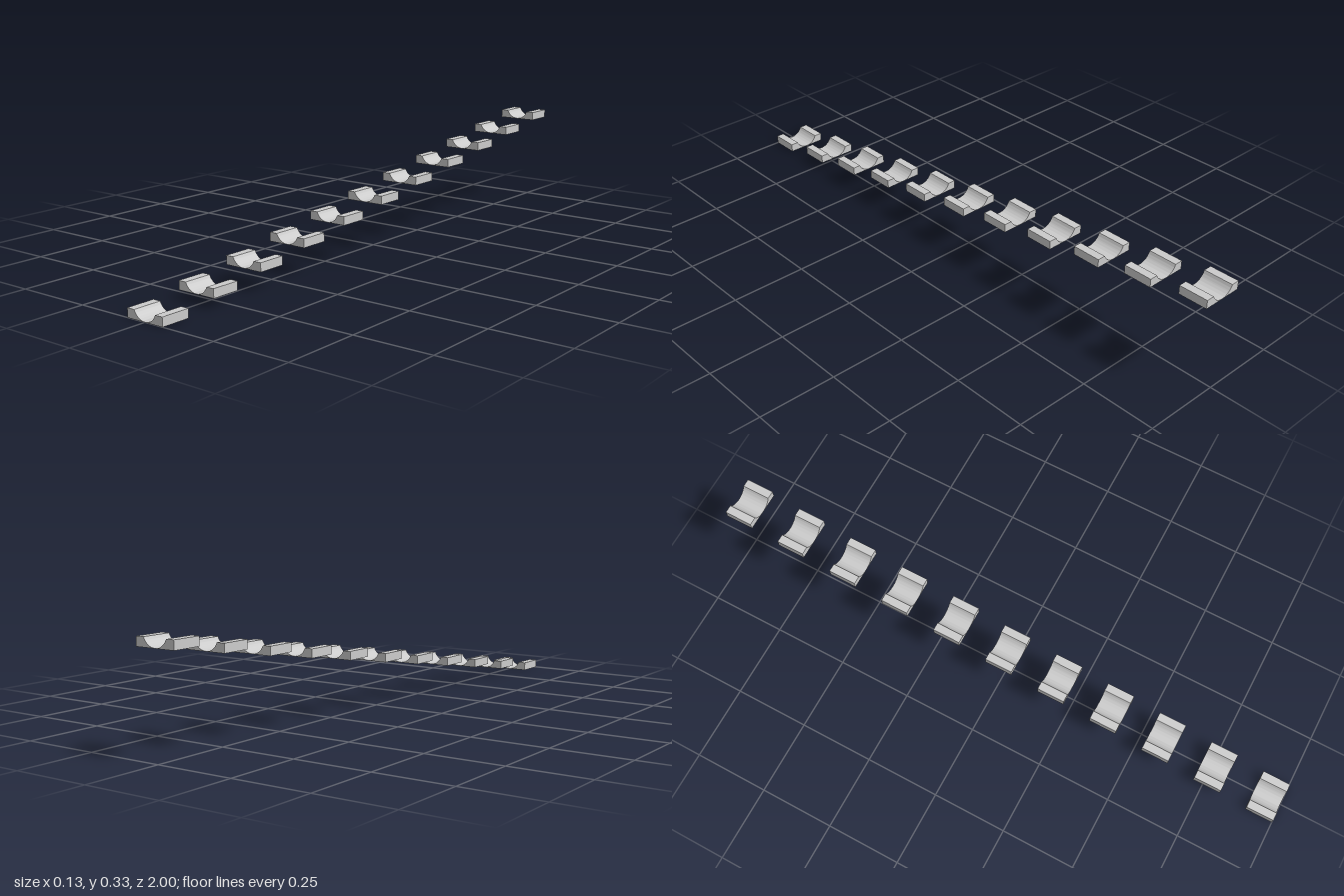
import * as THREE from 'three';
import { toCreasedNormals } from 'three/addons/utils/BufferGeometryUtils.js';

const COUNT = 11;
const HALF_WIDTH = 0.067, HEIGHT = 0.0278, LENGTH = 0.094;
const GROOVE_HALF = 0.04, FLOOR = 0.0005;
const RISE = 0.0305;                       // height gained per block
const PITCH = (2 - LENGTH) / (COUNT - 1);  // spacing along z

// Block with a round trough cut along its top
function cradleGeometry() {
  const depth = HEIGHT - FLOOR;
  const radius = (GROOVE_HALF ** 2 + depth ** 2) / (2 * depth);
  const sweep = Math.asin(GROOVE_HALF / radius);
  const shape = new THREE.Shape();
  shape.moveTo(-HALF_WIDTH, 0);
  shape.lineTo(HALF_WIDTH, 0);
  shape.lineTo(HALF_WIDTH, HEIGHT);
  shape.lineTo(GROOVE_HALF, HEIGHT);
  shape.absarc(0, FLOOR + radius, radius, -Math.PI / 2 + sweep, -Math.PI / 2 - sweep, true);
  shape.lineTo(-HALF_WIDTH, HEIGHT);
  shape.closePath();
  const geometry = new THREE.ExtrudeGeometry(shape, { depth: LENGTH, bevelEnabled: false, curveSegments: 24 });
  geometry.translate(0, 0, -LENGTH / 2);
  return toCreasedNormals(geometry, 0.5);
}

export function createModel() {
  const model = new THREE.Group();
  model.name = 'cradleRow';
  const geometry = cradleGeometry();
  const material = new THREE.MeshStandardMaterial({ color: 0xcccccc });

  // Row of cradles climbing toward the back
  for (let i = 0; i < COUNT; i++) {
    const cradle = new THREE.Mesh(geometry, material);
    cradle.name = `cradle${i + 1}`;
    cradle.position.set(0, i * RISE, 1 - LENGTH / 2 - i * PITCH);
    model.add(cradle);
  }
  return model;
}
